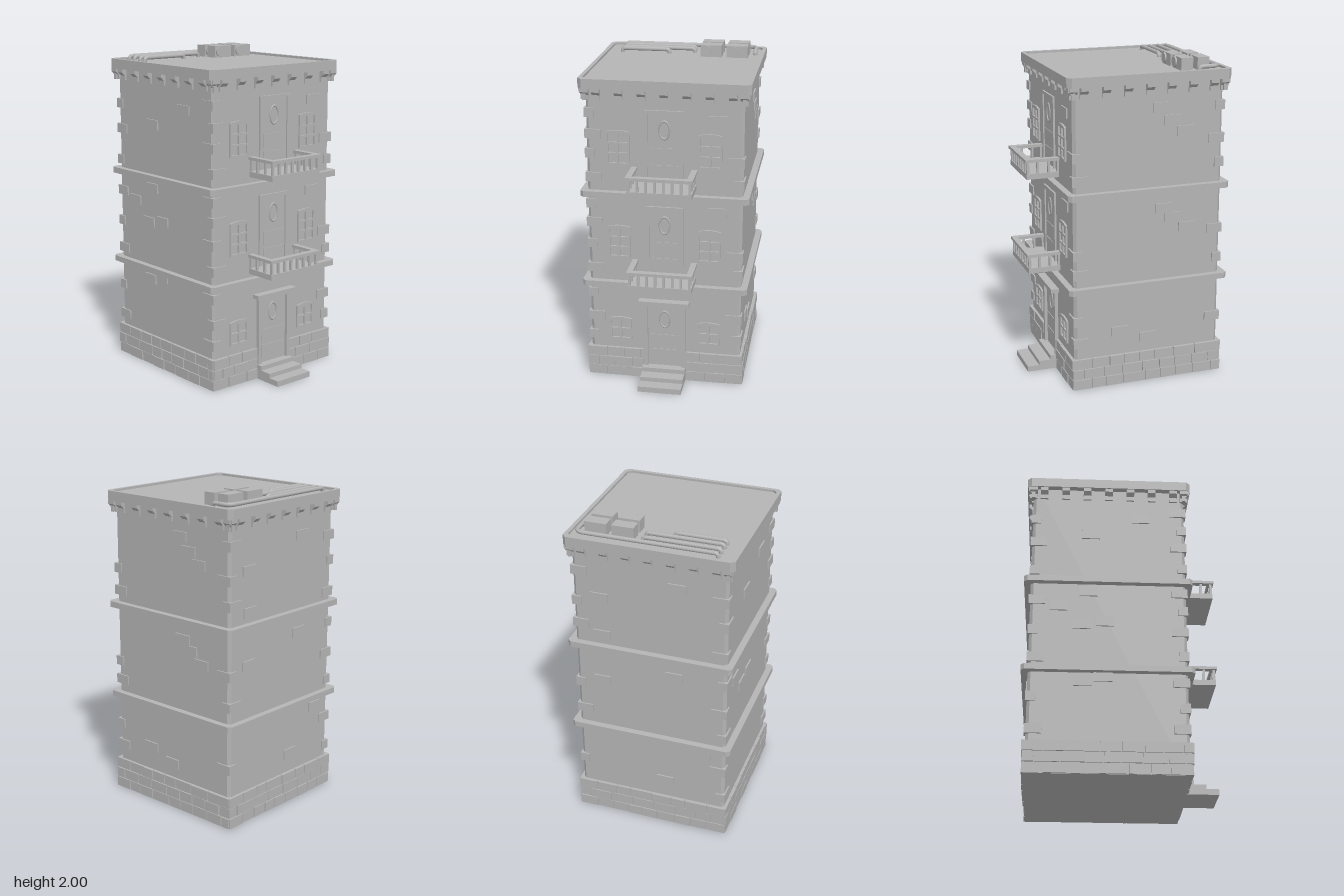
import * as THREE from 'three';

const CZ = -0.083;   // centre of the tower in z
const HALF = 0.472;  // half width of the walls
const FRONT = CZ + HALF;

export function createModel() {
  const model = new THREE.Group();
  const stone = new THREE.MeshStandardMaterial({ color: 0xb4b4b4 });
  stone.name = 'grey stone';

  const add = (name, geo, parent = model) => {
    const m = new THREE.Mesh(geo, stone);
    m.name = name;
    parent.add(m);
    return m;
  };
  const group = (name, parent = model) => {
    const g = new THREE.Group();
    g.name = name;
    parent.add(g);
    return g;
  };
  // box given by its limits
  const box = (name, x0, x1, y0, y1, z0, z1, parent) => {
    const m = add(name, new THREE.BoxGeometry(x1 - x0, y1 - y0, z1 - z0), parent);
    m.position.set((x0 + x1) / 2, (y0 + y1) / 2, (z0 + z1) / 2);
    return m;
  };
  // square outline with cut corners
  const octPoints = (h, c) => [
    [h - c, -h], [h, -h + c], [h, h - c], [h - c, h],
    [-h + c, h], [-h, h - c], [-h, -h + c], [-h + c, -h],
  ].map(([x, y]) => new THREE.Vector2(x, y));
  // horizontal slab extruded upwards from y0 to y1
  const slab = (name, shape, y0, y1) => {
    const geo = new THREE.ExtrudeGeometry(shape, { depth: y1 - y0, bevelEnabled: false });
    geo.rotateX(-Math.PI / 2);
    const m = add(name, geo);
    m.position.set(0, y0, CZ);
    return m;
  };
  const oct = (h, c) => new THREE.Shape(octPoints(h, c));

  // walls, floor bands and parapet
  slab('walls', oct(HALF, 0.018), 0, 1.9);
  slab('lowerBand', oct(0.512, 0.02), 0.625, 0.66);
  slab('upperBand', oct(0.512, 0.02), 1.21, 1.247);
  slab('roof', oct(0.512, 0.025), 1.88, 1.926);
  const rim = oct(0.512, 0.025);
  rim.holes.push(new THREE.Path(octPoints(0.488, 0.025).reverse()));
  slab('parapetRim', rim, 1.926, 1.94);

  // plinth with a gap at the front for the entrance
  const P = 0.482;
  slab('plinth', new THREE.Shape([
    [-P, P], [-P, -P], [-0.13, -P], [-0.13, -0.46], [0.13, -0.46], [0.13, -P], [P, -P], [P, P],
  ].map(([x, y]) => new THREE.Vector2(x, y))), 0, 0.195);

  // four sides, each with local x along the wall and local z outwards
  const sides = ['front', 'right', 'back', 'left'].map((n, i) => {
    const g = group(n + 'Masonry');
    g.position.z = CZ;
    g.rotation.y = i * Math.PI / 2;
    return g;
  });

  let seed = 7;
  const rand = () => (seed = (seed * 16807) % 2147483647) / 2147483647;

  // plinth masonry in running bond
  for (const side of sides) {
    for (let row = 0; row < 3; row++) {
      let x = -0.488;
      let w = row % 2 ? 0.07 : 0.12;
      while (x < 0.487) {
        const end = x + w > 0.45 ? 0.488 : x + w;
        const inGap = side === sides[0] && end > -0.135 && x < 0.135;
        const y0 = row * 0.066, out = 0.488 + rand() * 0.006;
        if (!inGap) box('plinthBrick', x + 0.003, end - 0.003, y0 + 0.002, y0 + 0.064, 0.47, out, side);
        else {
          if (x < -0.16) box('plinthBrick', x + 0.003, -0.135, y0 + 0.002, y0 + 0.064, 0.47, out, side);
          if (end > 0.16) box('plinthBrick', 0.135, end - 0.003, y0 + 0.002, y0 + 0.064, 0.47, out, side);
        }
        x = end;
        w = 0.09 + rand() * 0.06;
      }
    }
  }

  // scattered wall bricks: [along wall, height] per side
  const bricks = [
    [[0.32, 1.71], [0.32, 1.14]],
    [[0.08, 1.73], [0.23, 1.58], [0.15, 1.65], [0.1, 1.11], [0.25, 0.98], [0.16, 1.05], [0, 0.29], [-0.18, 0.35]],
    [[-0.31, 1.56], [0.17, 1.7], [-0.3, 1.31], [-0.31, 0.99], [0.15, 1.1], [0.33, 0.57], [0.09, 0.32]],
    [[-0.11, 1.56], [-0.12, 1.16], [-0.3, 1.06], [-0.16, 0.94], [-0.02, 0.96], [-0.03, 0.6], [-0.15, 0.57], [0.2, 1.68]],
  ];
  bricks.forEach((list, i) => list.forEach(([u, y]) =>
    box('wallBrick', u - 0.055, u + 0.055, y - 0.03, y + 0.03, HALF - 0.01, HALF + 0.009, sides[i])));

  // corner stones
  const corners = [
    [1, 1, [0.3, 0.44, 0.74, 0.86, 1.32, 1.46]],
    [-1, 1, [0.28, 0.41, 0.57, 0.74, 0.9, 1.04, 1.16, 1.33, 1.48, 1.6, 1.73]],
    [1, -1, [0.37, 0.76, 0.95, 1.37, 1.52, 1.72]],
    [-1, -1, [0.27, 0.47, 0.72, 0.9, 1.1, 1.3, 1.5, 1.66]],
  ];
  for (const [sx, sz, ys] of corners) {
    ys.forEach((y, i) => {
      const w = i % 2 ? 0.1 : 0.06, d = i % 2 ? 0.06 : 0.1;
      const m = add('cornerStone', new THREE.BoxGeometry(w, 0.058, d));
      m.position.set(sx * (HALF + 0.009 - w / 2), y, CZ + sz * (HALF + 0.009 - d / 2));
    });
  }

  // corbels under the parapet
  const corbel = new THREE.ExtrudeGeometry(new THREE.Shape([
    [-0.01, 1.81], [0.012, 1.81], [0.012, 1.838], [0.033, 1.858], [0.033, 1.882], [-0.01, 1.882],
  ].map(([x, y]) => new THREE.Vector2(x, y))), { depth: 0.048, bevelEnabled: false });
  corbel.translate(0, 0, -0.024);
  corbel.rotateY(-Math.PI / 2);
  for (const side of sides) {
    for (let i = -3; i <= 3; i++) add('corbel', corbel, side).position.set(i * 0.135, 0, HALF);
    for (const s of [-1, 1]) add('cornerCorbel', corbel, side).position.set(s * 0.472, 0, HALF);
  }

  // windows with a slightly arched frame and glazing bars
  const makeWindow = (x, y0, y1, rows) => {
    const g = group('window');
    g.position.set(x, y0, FRONT);
    const h = y1 - y0, w = 0.07, t = 0.012;
    const s = new THREE.Shape();
    s.moveTo(-w, 0).lineTo(w, 0).lineTo(w, h - 0.01);
    s.quadraticCurveTo(0, h + 0.01, -w, h - 0.01);
    const cw = (2 * w - 3 * t) / 2, ch = (h - 0.01 - (rows + 1) * t) / rows;
    for (let c = 0; c < 2; c++) {
      for (let r = 0; r < rows; r++) {
        const a = -w + t + c * (cw + t), b = t + r * (ch + t);
        s.holes.push(new THREE.Path([[a, b], [a, b + ch], [a + cw, b + ch], [a + cw, b]]
          .map(([p, q]) => new THREE.Vector2(p, q))));
      }
    }
    add('windowFrame', new THREE.ExtrudeGeometry(s, { depth: 0.012, bevelEnabled: false, curveSegments: 6 }), g);
  };
  for (const x of [-0.28, 0.275]) {
    makeWindow(x, 0.255, 0.41, 2);
    makeWindow(x, 0.815, 1.027, 3);
    makeWindow(x, 1.415, 1.63, 3);
  }

  // doors with frame, panels and oval light
  const makeDoor = (y0, y1, w, jamb, out) => {
    const g = group('door');
    const z = FRONT, h = y1 - y0, iw = w - jamb;
    for (const s of [-1, 1]) {
      const c = s * (w - jamb / 2);
      box('doorJamb', c - jamb / 2, c + jamb / 2, y0, y1, z - 0.01, z + out, g);
    }
    box('doorHead', -iw, iw, y1 - jamb, y1, z - 0.01, z + out, g);
    box('doorLeaf', -iw, iw, y0, y1 - jamb, z - 0.01, z + 0.003, g);
    box('lowerPanel', -iw + 0.015, iw - 0.015, y0 + 0.03, y0 + h * 0.27, z, z + 0.007, g);
    box('middlePanel', -iw + 0.015, iw - 0.015, y0 + h * 0.31, y0 + h * 0.5, z, z + 0.007, g);
    const oval = add('ovalLight', new THREE.TorusGeometry(0.04, 0.006, 6, 20), g);
    oval.scale.set(0.8, 1.35, 1);
    oval.position.set(0, y0 + h * 0.74, z + 0.003);
  };
  makeDoor(0.085, 0.525, 0.13, 0.024, 0.022);
  makeDoor(0.7, 1.16, 0.118, 0.024, 0.012);
  makeDoor(1.3, 1.76, 0.118, 0.018, 0.012);
  box('doorLintel', -0.16, 0.155, 0.52, 0.545, FRONT - 0.01, 0.44);

  // entrance steps
  [[0.035, 0.595], [0.062, 0.52], [0.09, 0.445]].forEach(([top, z], i) =>
    box('step', -0.138, 0.132, i ? top - 0.03 : 0, top, FRONT - 0.02, z));

  // balconies
  const makeBalcony = (y) => {
    const g = group('balcony');
    g.position.y = y;
    box('balconyFloor', -0.193, 0.193, 0, 0.034, FRONT - 0.01, 0.592, g);
    box('frontRail', -0.2, 0.2, 0.105, 0.123, 0.562, 0.6, g);
    for (const s of [-1, 1]) {
      box('sideRail', s * 0.182 - 0.018, s * 0.182 + 0.018, 0.105, 0.123, FRONT - 0.01, 0.562, g);
      for (const z of [0.395, 0.452, 0.52])
        box('sideBaluster', s * 0.182 - 0.007, s * 0.182 + 0.007, 0.034, 0.105, z - 0.007, z + 0.007, g);
    }
    for (let i = 0; i < 8; i++) {
      const x = -0.182 + i * 0.052;
      box('baluster', x - 0.007, x + 0.007, 0.034, 0.105, 0.574, 0.59, g);
    }
  };
  makeBalcony(0.683);
  makeBalcony(1.282);

  // rooftop cooling units with round fans
  for (const x of [0.115, 0.28]) {
    for (const z of [-0.485, -0.38]) {
      const g = group('coolingUnit');
      box('unitBody', x, x + 0.133, 1.92, 2, z, z + 0.076, g);
      const fan = add('unitFan', new THREE.CylinderGeometry(0.032, 0.032, 0.016, 16), g);
      fan.rotation.x = Math.PI / 2;
      fan.position.set(x + 0.038, 1.966, z + 0.078);
    }
  }

  // rooftop pipes, turned down into the roof at their ends
  const pipe = (pts) => {
    const path = new THREE.CurvePath();
    const v = pts.map((p) => new THREE.Vector3(...p));
    let from = v[0];
    for (let i = 1; i < v.length - 1; i++) {
      const r = Math.min(0.05, v[i].distanceTo(v[i - 1]) * 0.7, v[i].distanceTo(v[i + 1]) * 0.7);
      const a = v[i].clone().add(v[i - 1].clone().sub(v[i]).setLength(r));
      const b = v[i].clone().add(v[i + 1].clone().sub(v[i]).setLength(r));
      path.add(new THREE.LineCurve3(from, a));
      path.add(new THREE.QuadraticBezierCurve3(a, v[i], b));
      from = b;
    }
    path.add(new THREE.LineCurve3(from, v[v.length - 1]));
    add('roofPipe', new THREE.TubeGeometry(path, 90, 0.013, 8));
  };
  const py = 1.951, low = 1.92;
  pipe([[-0.4, low, -0.53], [-0.4, py, -0.53], [0.452, py, -0.53], [0.452, py, -0.405], [0.452, low, -0.405]]);
  for (const [z, end] of [[-0.475, 0.062], [-0.415, 0.062], [-0.365, -0.095]])
    pipe([[-0.4, low, z], [-0.4, py, z], [end, py, z], [end, low, z]]);

  return model;
}
